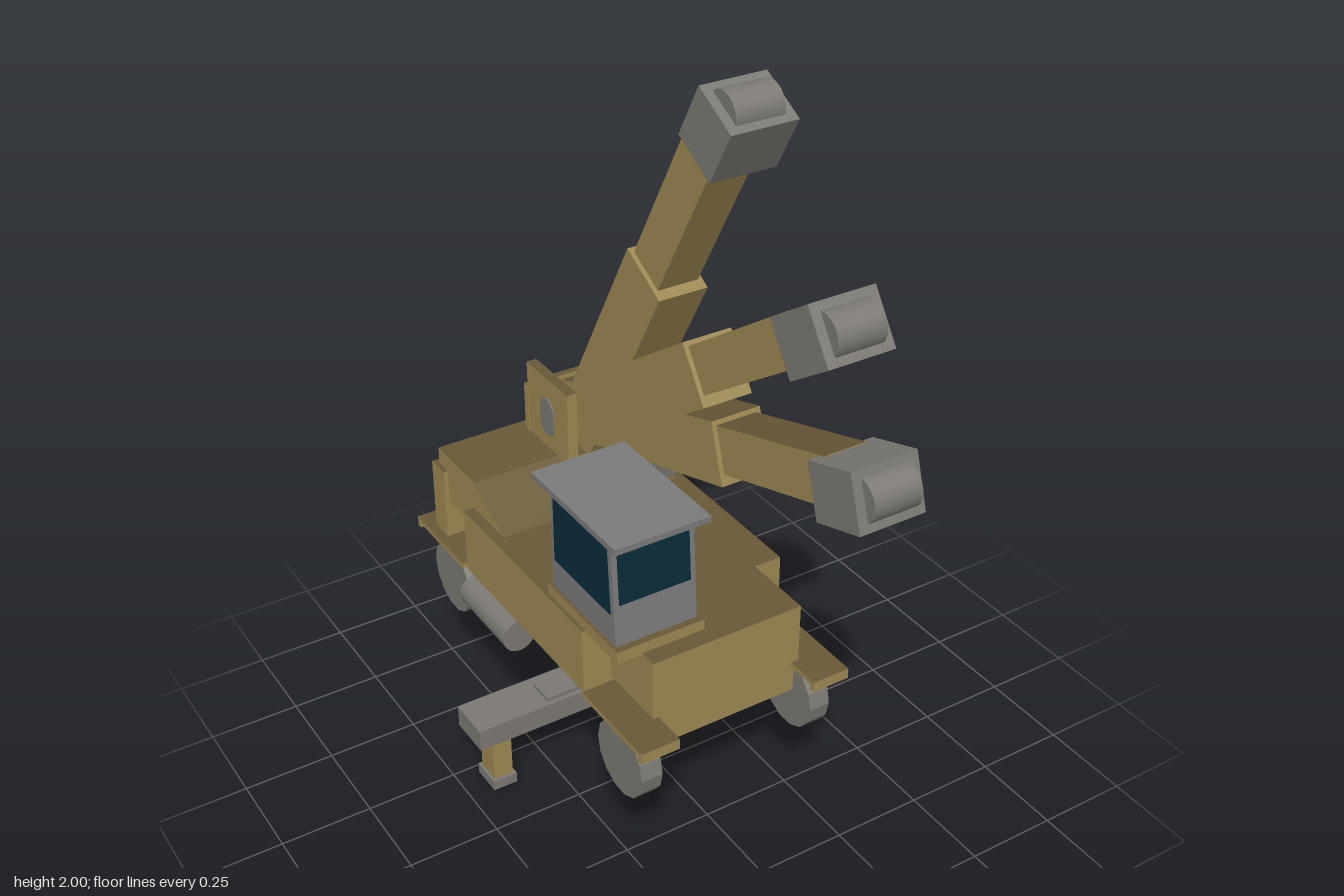
import * as THREE from 'three';

export function createModel() {
  const root = new THREE.Group();
  const mat = (name, hex) => {
    const m = new THREE.MeshStandardMaterial({ color: hex });
    m.name = name;
    return m;
  };
  const ochre = mat('ochre paint', 0x9d8852);
  const deck = mat('dark ochre deck', 0x695937);
  const grey = mat('warm grey', 0x7c7973);
  const cabGrey = mat('cab grey', 0x7b7b7b);
  const glass = mat('dark glass', 0x0a2b38);
  // Ochre box sides with a dark top face
  const painted = [ochre, ochre, deck, ochre, ochre, ochre];

  const add = (parent, name, geometry, material) => {
    const mesh = new THREE.Mesh(geometry, material);
    mesh.name = name;
    parent.add(mesh);
    return mesh;
  };
  // Box given by its minimum and maximum on each axis
  const box = (parent, name, material, x0, x1, y0, y1, z0, z1) => {
    const mesh = add(parent, name, new THREE.BoxGeometry(x1 - x0, y1 - y0, z1 - z0), material);
    mesh.position.set((x0 + x1) / 2, (y0 + y1) / 2, (z0 + z1) / 2);
    return mesh;
  };
  // Cylinder lying along x
  const roller = (parent, name, material, r, width, x, y, z, sides) => {
    const g = new THREE.CylinderGeometry(r, r, width, sides).toNonIndexed();
    if (sides <= 14) g.computeVertexNormals();
    const mesh = add(parent, name, g.rotateZ(Math.PI / 2), material);
    mesh.position.set(x, y, z);
    return mesh;
  };
  // Profile in the z-y plane, extruded across x
  const extrudeAcross = (parent, name, material, shape, x0, x1) => {
    const g = new THREE.ExtrudeGeometry(shape, { depth: x1 - x0, bevelEnabled: false });
    g.rotateY(Math.PI / 2).translate(x0, 0, 0);
    return add(parent, name, g, material);
  };
  const sidePlate = (parent, name, material, points, x0, x1) => extrudeAcross(parent, name, material,
    new THREE.Shape(points.map(([z, y]) => new THREE.Vector2(-z, y))), x0, x1);

  // Chassis and superstructure
  const body = new THREE.Group();
  body.name = 'body';
  root.add(body);
  box(body, 'lowerChassis', painted, -0.212, 0.21, 0.385, 0.49, -0.69, 0.32);
  box(body, 'mainBody', painted, -0.22, 0.216, 0.485, 0.655, -0.69, 0.33);
  box(body, 'rearPlate', painted, -0.283, 0.283, 0.465, 0.69, -0.72, -0.65);
  box(body, 'rearCounterweight', painted, -0.27, 0.27, 0.59, 0.74, -0.7, -0.49);
  sidePlate(body, 'counterweightSlope', [ochre, deck],
    [[-0.32, 0.65], [-0.49, 0.74], [-0.49, 0.65]], -0.27, 0.27);
  for (const s of [-1, 1]) {
    const [a, b] = s < 0 ? [-0.3, -0.215] : [0.215, 0.295];
    box(body, 'sideLocker', painted, a, b, 0.465, 0.655, -0.5, 0.13);
    // Fenders with a small lip at the outer end, and wheels
    const [f0, f1] = s < 0 ? [-0.31, -0.2] : [0.2, 0.308];
    box(body, 'frontFender', painted, f0, f1, 0.463, 0.478, 0.14, 0.42);
    box(body, 'frontFenderLip', ochre, f0, f1, 0.448, 0.463, 0.405, 0.42);
    box(body, 'rearFender', painted, f0, f1, 0.463, 0.478, -0.785, -0.51);
    box(body, 'rearFenderLip', ochre, f0, f1, 0.448, 0.463, -0.785, -0.77);
    for (const z of [0.275, -0.635])
      roller(root, 'wheel', grey, 0.105, 0.06, s * 0.254, 0.348, z, 14);
  }

  // Tank and step on the cab side
  const tank = add(root, 'tank', new THREE.CylinderGeometry(0.048, 0.048, 0.25, 20).rotateX(Math.PI / 2), grey);
  tank.position.set(-0.293, 0.412, -0.345);
  box(root, 'step', grey, -0.35, -0.21, 0.387, 0.397, -0.045, 0.03);

  // Outrigger
  const outrigger = new THREE.Group();
  outrigger.name = 'outrigger';
  root.add(outrigger);
  box(outrigger, 'outriggerBeam', grey, -0.475, 0.47, 0.17, 0.233, -0.245, -0.12);
  for (const x of [-0.4, 0.395]) {
    box(outrigger, 'outriggerLeg', ochre, x - 0.028, x + 0.028, 0.03, 0.17, -0.215, -0.145);
    box(outrigger, 'outriggerFoot', grey, x - 0.035, x + 0.035, 0, 0.03, -0.225, -0.135);
  }

  // Cab with a slightly sloping front
  const cab = new THREE.Group();
  cab.name = 'cab';
  root.add(cab);
  box(cab, 'cabBase', painted, -0.29, -0.04, 0.65, 0.685, -0.055, 0.28);
  sidePlate(cab, 'cabShell', cabGrey,
    [[0.26, 0.685], [0.242, 0.982], [-0.042, 0.982], [-0.042, 0.685]], -0.282, -0.05);
  box(cab, 'cabRoof', cabGrey, -0.302, -0.035, 0.98, 0.997, -0.1, 0.295);
  for (const x of [-0.285, -0.051])
    sidePlate(cab, 'sideWindow', glass,
      [[0.24, 0.772], [0.226, 0.955], [-0.026, 0.955], [-0.026, 0.772]], x, x + 0.004);
  sidePlate(cab, 'windscreen', glass,
    [[0.2555, 0.8], [0.2455, 0.96], [0.2405, 0.96], [0.2495, 0.8]], -0.267, -0.065);
  box(cab, 'rearWindow', glass, -0.265, -0.067, 0.772, 0.955, -0.046, -0.042);

  // Boom tower
  const tower = new THREE.Group();
  tower.name = 'boomTower';
  root.add(tower);
  box(tower, 'towerFloor', painted, -0.01, 0.24, 0.7, 0.76, -0.65, -0.43);
  box(tower, 'towerBack', painted, -0.015, 0.248, 0.7, 0.885, -0.665, -0.645);
  for (const [a, b] of [[-0.012, 0.018], [0.215, 0.245]])
    box(tower, 'towerCheek', painted, a, b, 0.7, 0.957, -0.65, -0.43);
  // Pivot pin with oblong caps on the outside of the cheeks
  roller(tower, 'pivotPin', grey, 0.02, 0.2, 0.1165, 0.837, -0.545, 20);
  const oblong = new THREE.Shape();
  oblong.absarc(0.54, 0.86, 0.035, 0, Math.PI);
  oblong.absarc(0.54, 0.815, 0.035, Math.PI, Math.PI * 2);
  for (const x of [-0.016, 0.243])
    extrudeAcross(tower, 'pivotCap', grey, oblong, x, x + 0.006);

  // Telescopic booms: elevation, tip height, tip depth, base-section start and length, base offset, paint
  const booms = [
    [60.5, 1.958, 0.188, 0.625, 0.76, 0.02, ochre],
    [34.6, 1.591, 0.587, 0.605, 0.745, 0.005, painted],
    [18, 1.26, 0.746, 0.58, 0.76, 0.005, painted],
  ];
  for (const [angle, y, z, start, length, off, paint] of booms) {
    const boom = new THREE.Group();
    boom.name = 'boom';
    boom.position.set(0.116, y, z);
    boom.rotation.x = -THREE.MathUtils.degToRad(angle);
    root.add(boom);
    box(boom, 'boomBase', paint, -0.07, 0.07, off - 0.083, off + 0.083, -start - length, -start);
    box(boom, 'boomExtension', paint, -0.058, 0.058, off - 0.054, off + 0.07, -start - 0.1, -0.14);
    box(boom, 'boomHead', grey, -0.09, 0.09, -0.073, 0.073, -0.16, 0);
    roller(boom, 'headPulley', grey, 0.056, 0.13, 0, 0, -0.02, 24);
  }

  // Lift struts fanning out from a common foot
  const foot = new THREE.Vector3(0.085, 0.675, -0.365);
  for (const z of [-0.07, -0.22, -0.33]) {
    const head = new THREE.Vector3(0.12, 0.9, z);
    const strut = add(root, 'liftStrut',
      new THREE.BoxGeometry(0.045, 0.045, foot.distanceTo(head)), grey);
    strut.position.lerpVectors(foot, head, 0.5);
    strut.lookAt(head);
  }
  return root;
}
